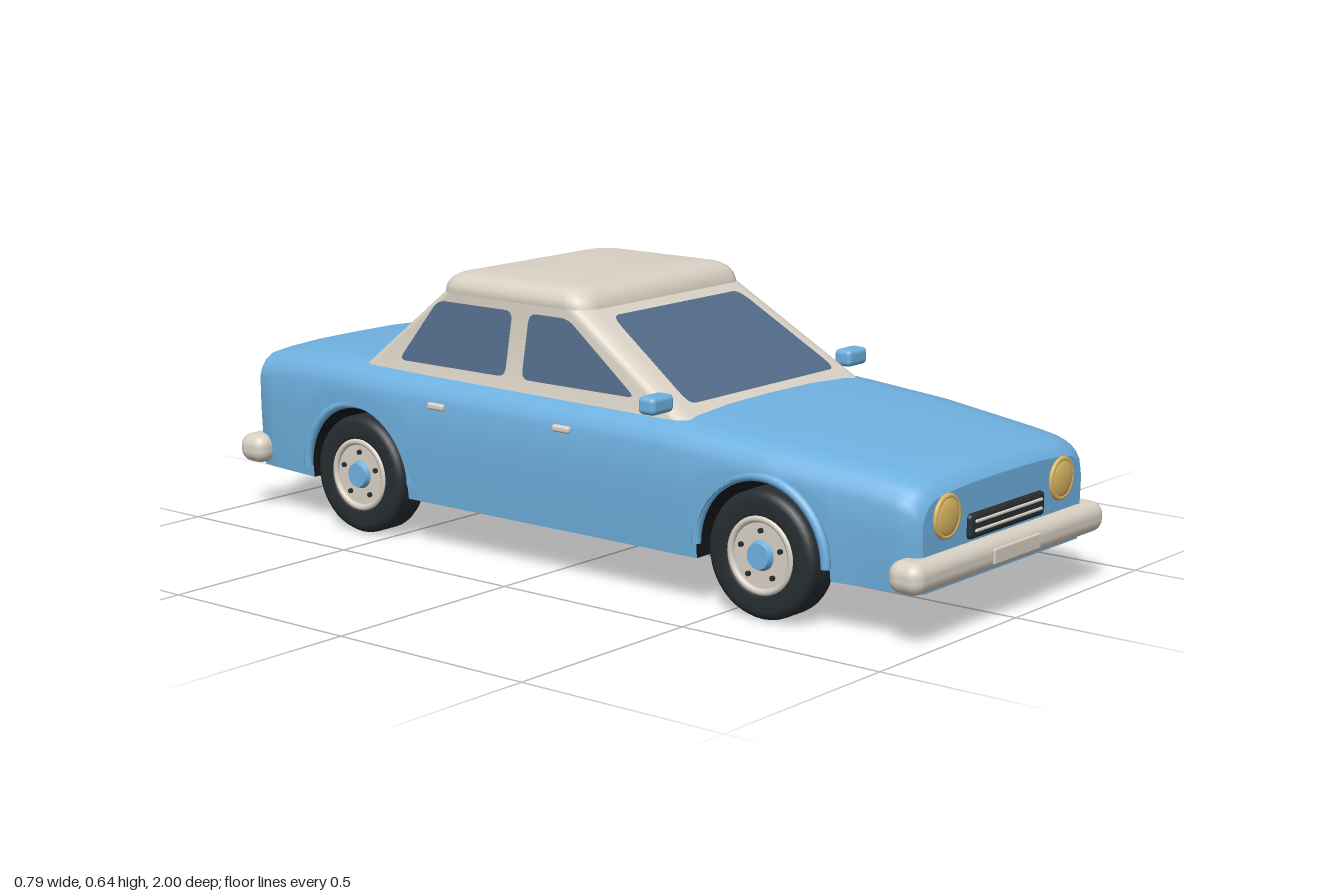
import * as THREE from 'three';
import { toCreasedNormals } from 'three/addons/utils/BufferGeometryUtils.js';
import { RoundedBoxGeometry } from 'three/addons/geometries/RoundedBoxGeometry.js';

const material = (name, color, side = THREE.FrontSide) =>
  Object.assign(new THREE.MeshStandardMaterial({ color, side }), { name });

// Skin a surface through equal-length rings of points
function loft(rings, closed = false) {
  const n = rings[0].length, idx = [];
  for (let i = 0; i < rings.length - 1; i++) {
    for (let j = 0; j < (closed ? n : n - 1); j++) {
      const k = (j + 1) % n, a = i * n + j, b = i * n + k, c = a + n, d = b + n;
      idx.push(a, b, c, b, d, c);
    }
  }
  const g = new THREE.BufferGeometry();
  g.setAttribute('position', new THREE.Float32BufferAttribute(rings.flat(2), 3));
  g.setIndex(idx);
  return toCreasedNormals(g, 0.6);
}

// Piecewise-linear lookup in a table of [key, value] pairs with rising keys
function lookup(table, z) {
  for (let i = 1; i < table.length; i++) {
    const [z0, v0] = table[i - 1], [z1, v1] = table[i];
    if (z <= z1) return THREE.MathUtils.mapLinear(z, z0, z1, v0, v1);
  }
  return table[table.length - 1][1];
}

// Polygon with rounded corners
function roundedPoly(pts, r) {
  const s = new THREE.Shape(), v = pts.map(p => new THREE.Vector2(...p));
  v.forEach((p, i) => {
    const toward = q => p.clone().add(q.clone().sub(p).setLength(r));
    const a = toward(v[(i + v.length - 1) % v.length]), b = toward(v[(i + 1) % v.length]);
    i ? s.lineTo(a.x, a.y) : s.moveTo(a.x, a.y);
    s.quadraticCurveTo(p.x, p.y, b.x, b.y);
  });
  s.closePath();
  return s;
}

const FLOOR = 0.108, AXLE_Y = 0.14, ARCH = 0.165, AXLES = [0.595, -0.587];
const WIDTH = [[-0.962, 0.318], [-0.95, 0.33], [-0.9, 0.34], [-0.65, 0.368], [-0.5, 0.375],
  [0.4, 0.375], [0.6, 0.366], [0.85, 0.337], [0.93, 0.33], [0.955, 0.322], [0.966, 0.308]];
const TOP = [[-0.962, 0.378], [-0.95, 0.392], [-0.9, 0.401], [-0.75, 0.411], [-0.6, 0.414], [-0.4, 0.41],
  [0.33, 0.402], [0.6, 0.382], [0.85, 0.356], [0.91, 0.347], [0.94, 0.338], [0.955, 0.327], [0.966, 0.312]];

function bottomAt(z) {
  for (const c of AXLES) {
    const d = Math.abs(z - c);
    if (d <= ARCH + 1e-6) return AXLE_Y + Math.sqrt(Math.max(0, ARCH * ARCH - d * d));
  }
  return FLOOR;
}

// Half of the body section, from the sill up to the centre line, then mirrored
function bodyRing(z) {
  const w = lookup(WIDTH, z), t = lookup(TOP, z), b = bottomAt(z);
  const sideX = y => w * (1 - 0.03 * Math.max(0, (0.3 - y) / 0.19) ** 2);
  const half = [0, 0.33, 0.66, 1].map(f => b + (t - 0.065 - b) * f).map(y => [sideX(y), y, z]);
  half.push([w - 0.006, t - 0.045, z], [w - 0.02, t - 0.026, z], [w - 0.042, t - 0.013, z],
    [w - 0.1, t - 0.006, z], [w * 0.4, t - 0.001, z]);
  return [...half, [0, t, z], ...half.map(([x, y]) => [-x, y, z]).reverse()];
}

// Cabin faces as linear functions of height
const along = (y, a, b) => a + (b - a) * (y - 0.39) / 0.2;
const screenZ = y => along(y, 0.365, 0.05);
const rearZ = y => along(y, -0.615, -0.39);
const cabinX = y => along(y, 0.329, 0.291);

// Rounded rectangle lying at height y
function cabinRing([y, zf, zb, hw, r]) {
  const ring = [];
  [[1, 1], [1, -1], [-1, -1], [-1, 1]].forEach(([sx, sz], q) => {
    for (let k = 0; k <= 5; k++) {
      const a = (q + k / 5) * Math.PI / 2;
      ring.push([sx * (hw - r) + r * Math.sin(a), y, (sz > 0 ? zf - r : zb + r) + r * Math.cos(a)]);
    }
  });
  return ring;
}

export function createModel() {
  const car = new THREE.Group();
  car.name = 'car';
  const blue = material('blue paint', 0x6fb1e0), cream = material('cream', 0xd9d1c4),
    glass = material('window glass', 0x526a88, THREE.DoubleSide), rubber = material('dark rubber', 0x272d31),
    black = material('wheel well black', 0x15181a, THREE.DoubleSide),
    gold = material('headlight amber', 0xd9b662), red = material('tail light red', 0xc9594a);
  const add = (name, geo, mat, x = 0, y = 0, z = 0, parent = car) => {
    const m = new THREE.Mesh(geo, mat);
    m.name = name;
    m.position.set(x, y, z);
    parent.add(m);
    return m;
  };
  const box = (w, h, d, r) => new RoundedBoxGeometry(w, h, d, 4, r);

  // Body shell with cut wheel arches
  const stations = [...WIDTH, ...TOP].map(p => p[0]);
  for (const c of AXLES) {
    stations.push(c - ARCH - 0.0005, c + ARCH + 0.0005);
    for (let k = 0; k <= 24; k++) stations.push(c - ARCH * Math.cos(Math.PI * k / 24));
  }
  for (let z = -0.35; z < 0.35; z += 0.1) stations.push(z);
  const zs = [...new Set(stations)].sort((a, b) => a - b);
  add('bodyShell', loft(zs.map(bodyRing)), blue);
  for (const s of [1, -1]) {
    const z = s > 0 ? zs[zs.length - 1] : zs[0];
    const cap = new THREE.ShapeGeometry(new THREE.Shape(bodyRing(z).map(p => new THREE.Vector2(p[0], p[1]))));
    if (s < 0) cap.rotateY(Math.PI);
    add(s > 0 ? 'nosePanel' : 'tailPanel', cap, blue, 0, 0, z);
  }

  // Underside: painted floor pans and dark wheel wells
  const under = z => {
    const p = bodyRing(z)[0];
    return [[-p[0], p[1], z], p];
  };
  const inArch = z => AXLES.some(c => Math.abs(z - c) < ARCH + 0.001);
  let run = [zs[0]];
  for (let i = 1; i < zs.length; i++) {
    const well = inArch(zs[i - 1]) && inArch(zs[i]);
    run.push(zs[i]);
    const nextWell = i + 1 < zs.length && inArch(zs[i]) && inArch(zs[i + 1]);
    if (i === zs.length - 1 || well !== nextWell) {
      add(well ? 'wheelWell' : 'floorPan', loft(run.map(under)), well ? black : blue);
      run = [zs[i]];
    }
  }

  // Cabin and roof
  add('cabin', loft([
    [0.39, 0.365, -0.615, 0.329, 0.035], [0.588, 0.053, -0.392, 0.291, 0.05],
    [0.594, 0.052, -0.393, 0.293, 0.055], [0.608, 0.047, -0.389, 0.291, 0.055],
    [0.622, 0.036, -0.379, 0.282, 0.052], [0.631, 0.02, -0.363, 0.268, 0.05],
    [0.635, -0.005, -0.338, 0.243, 0.04], [0.636, -0.169, -0.171, 0.001, 0.0005],
  ].map(cabinRing), true), cream);

  // Windows: flat outlines laid onto the sloping cabin faces
  const pane = (name, pts, place) => {
    const g = new THREE.ShapeGeometry(roundedPoly(pts, 0.022), 6), p = g.attributes.position;
    for (let i = 0; i < p.count; i++) p.setXYZ(i, ...place(p.getX(i), p.getY(i)));
    g.computeVertexNormals();
    add(name, g, glass);
  };
  pane('windscreen', [[-0.268, 0.415], [0.268, 0.415], [0.228, 0.575], [-0.228, 0.575]],
    (u, v) => [u, v, screenZ(v) + 0.008]);
  pane('rearWindow', [[-0.265, 0.424], [0.265, 0.424], [0.228, 0.575], [-0.228, 0.575]],
    (u, v) => [-u, v, rearZ(v) - 0.006]);
  for (const s of [1, -1]) {
    const side = (name, pts) => pane(name, pts.map(([z, y]) => [-s * z, y]),
      (u, v) => [s * (cabinX(v) + 0.005), v, -s * u]);
    side('frontSideWindow', [[0.23, 0.424], [-0.1, 0.424], [-0.1, 0.57], [0.015, 0.57]]);
    side('rearSideWindow', [[-0.15, 0.424], [-0.48, 0.424], [-0.38, 0.57], [-0.15, 0.57]]);

    // Mirrors, door handles and lamps
    add('mirror', box(0.074, 0.04, 0.046, 0.012), blue, s * 0.358, 0.427, 0.313);
    for (const z of [0.06, -0.318]) add('doorHandle', box(0.016, 0.016, 0.05, 0.006), cream, s * 0.375, 0.341, z);
    add('headlight', new THREE.SphereGeometry(0.044, 32, 16).scale(1, 1, 0.28), gold, s * 0.222, 0.257, 0.966);
    add('headlightRim', new THREE.TorusGeometry(0.043, 0.006, 10, 36), gold, s * 0.222, 0.257, 0.967);
    add('tailLight', box(0.09, 0.04, 0.02, 0.009), red, s * 0.235, 0.295, -0.962);

    // Bumpers with plates
    add('bumper', box(0.74, 0.07, 0.084, 0.03), cream, 0, 0.151, s * 0.956);
    add('plate', box(0.18, 0.035, 0.008, 0.004), cream, 0, 0.15, s * 0.998);

    // Wheels and arch lips
    for (const z of AXLES) {
      const lip = add('archLip', new THREE.TorusGeometry(0.17, 0.011, 8, 32, Math.PI), blue, s * 0.36, AXLE_Y, z);
      lip.rotation.y = Math.PI / 2;
      const wheel = new THREE.Group();
      wheel.name = 'wheel';
      wheel.position.set(s * 0.317, AXLE_Y, z);
      wheel.rotation.z = -s * Math.PI / 2;
      car.add(wheel);
      const tyre = [[0.084, -0.04], [0.09, -0.046], [0.122, -0.046], [0.134, -0.041], [0.14, -0.03],
        [0.14, 0.03], [0.134, 0.041], [0.122, 0.046], [0.09, 0.046], [0.084, 0.04]];
      add('tyre', new THREE.LatheGeometry(tyre.map(p => new THREE.Vector2(...p)), 40), rubber, 0, 0, 0, wheel);
      add('wheelDisc', new THREE.CylinderGeometry(0.086, 0.086, 0.076, 36), cream, 0, 0, 0, wheel);
      add('wheelRim', new THREE.TorusGeometry(0.079, 0.008, 8, 36).rotateX(Math.PI / 2), cream, 0, 0.039, 0, wheel);
      add('hubCap', new THREE.CylinderGeometry(0.028, 0.035, 0.018, 24), blue, 0, 0.042, 0, wheel);
      for (let k = 0; k < 5; k++) {
        const a = k * Math.PI * 2 / 5;
        add('wheelBolt', new THREE.CylinderGeometry(0.006, 0.006, 0.008, 8), rubber,
          0.054 * Math.cos(a), 0.04, 0.054 * Math.sin(a), wheel);
      }
    }
  }

  // Grille with two bright bars
  add('grille', box(0.29, 0.054, 0.022, 0.01), rubber, 0, 0.219, 0.966);
  for (const y of [0.21, 0.23]) add('grilleBar', box(0.26, 0.007, 0.008, 0.003), cream, 0, y, 0.977);

  return car;
}
